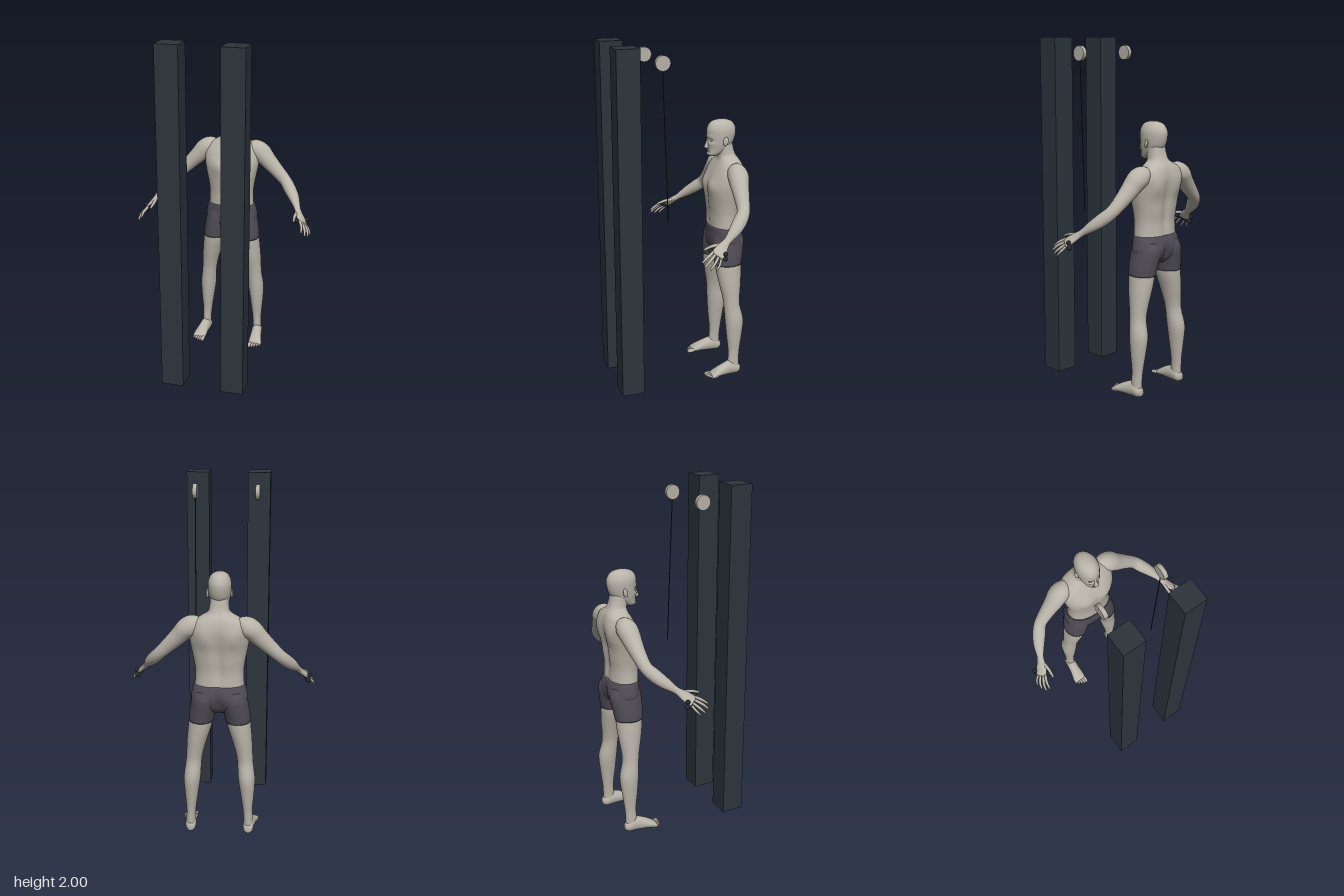
import * as THREE from 'three';

const mat = (name, color) => Object.assign(new THREE.MeshStandardMaterial({ color }), { name });
const V3 = (x, y, z) => new THREE.Vector3(x, y, z);
const UP = V3(0, 1, 0), FORWARD = V3(0, 0, 1), SIDE = V3(1, 0, 0);
const bell = (d, w) => Math.exp(-((d / w) ** 2));

// Smooth body through stations [x, y, z, radius along ref, other radius].
// axis fixes the plane of every cross-section, otherwise it follows the path.
function loft(rows, { ref = SIDE, axis = null, seg = 24, sub = 4, pow = 1, tweak = null } = {}) {
  const n = (rows.length - 1) * sub, pos = [], idx = [];
  const sample = (t) => {
    const i = Math.min(Math.floor(t), rows.length - 2), f = t - i;
    const at = (k) => rows[Math.max(0, Math.min(rows.length - 1, k))];
    return rows[0].map((_, c) => {
      const a = at(i - 1)[c], b = at(i)[c], d = at(i + 1)[c], e = at(i + 2)[c];
      return b + 0.5 * f * (d - a + f * (2 * a - 5 * b + 4 * d - e + f * (3 * (b - d) + e - a)));
    });
  };
  const shape = (v) => Math.sign(v) * Math.abs(v) ** pow;
  const add = (p) => { if (tweak) tweak(p); pos.push(p.x, p.y, p.z); };
  for (let j = 0; j <= n; j++) {
    const s = sample(j / sub), c = V3(s[0], s[1], s[2]);
    const a = sample(Math.max(0, j / sub - 0.1)), b = sample(Math.min(rows.length - 1, j / sub + 0.1));
    const T = axis ? axis.clone() : V3(b[0] - a[0], b[1] - a[1], b[2] - a[2]).normalize();
    const U = ref.clone().addScaledVector(T, -ref.dot(T)).normalize();
    const V = T.clone().cross(U);
    for (let k = 0; k < seg; k++) {
      const w = (k / seg) * Math.PI * 2;
      add(c.clone().addScaledVector(U, s[3] * shape(Math.cos(w))).addScaledVector(V, s[4] * shape(Math.sin(w))));
    }
  }
  for (let j = 0; j < n; j++) for (let k = 0; k < seg; k++) {
    const k2 = (k + 1) % seg, p = j * seg + k, q = j * seg + k2;
    idx.push(p, q, p + seg, q, q + seg, p + seg);
  }
  // closed ends
  const first = rows[0], last = rows[rows.length - 1], c0 = (n + 1) * seg;
  add(V3(first[0], first[1], first[2]));
  add(V3(last[0], last[1], last[2]));
  for (let k = 0; k < seg; k++) {
    const k2 = (k + 1) % seg;
    idx.push(c0, k2, k, c0 + 1, n * seg + k, n * seg + k2);
  }
  const g = new THREE.BufferGeometry();
  g.setAttribute('position', new THREE.Float32BufferAttribute(pos, 3));
  g.setIndex(idx);
  g.computeVertexNormals();
  return g;
}

export function createModel() {
  const root = new THREE.Group();
  root.name = 'cableTrainingFigure';
  const skin = mat('skin', 0xb9b4a9), cloth = mat('shorts', 0x504d55), post = mat('post', 0x2c353c);
  const disc = mat('pulley', 0xb5b0a5), dark = mat('grip', 0x26292e);
  const add = (name, geo, m, parent = root) => {
    const mesh = new THREE.Mesh(geo, m);
    mesh.name = name;
    parent.add(mesh);
    return mesh;
  };
  const rod = (a, b, r) => new THREE.TubeGeometry(new THREE.LineCurve3(a, b), 1, r, 8);

  // Posts, pulleys and the single cable
  for (const x of [-0.18, 0.176]) {
    add('post', new THREE.BoxGeometry(0.13, 2, 0.13), post).position.set(x, 1, 0.335);
    const p = add('pulley', new THREE.CylinderGeometry(0.042, 0.042, 0.024, 32), disc);
    p.rotation.z = Math.PI / 2;
    p.position.set(x, 1.91, 0.13);
  }
  add('cable', rod(V3(0.176, 1.9, 0.131), V3(0.176, 1.02, 0.1), 0.003), dark);

  // Torso and neck, with chest, shoulder blades and spine groove
  const muscles = (p) => {
    const x = Math.abs(p.x);
    if (p.z > -0.29) {
      p.z += 0.012 * bell(x - 0.065, 0.045) * bell(p.y - 1.165, 0.045);
      p.z -= 0.006 * bell(x, 0.012) * bell(p.y - 1.1, 0.12);
      p.z -= 0.008 * bell(x, 0.008) * bell(p.y - 0.95, 0.01);
    } else {
      p.z += 0.016 * bell(x, 0.022) * bell(p.y - 1.08, 0.17);
      p.z -= 0.01 * bell(x - 0.08, 0.04) * bell(p.y - 1.2, 0.06);
    }
  };
  add('torso', loft([
    [0, 0.9, -0.291, 0.139, 0.084], [0, 0.95, -0.289, 0.135, 0.083], [0, 1.0, -0.288, 0.135, 0.083],
    [0, 1.06, -0.288, 0.143, 0.09], [0, 1.12, -0.288, 0.155, 0.095], [0, 1.18, -0.295, 0.165, 0.098],
    [0, 1.24, -0.308, 0.167, 0.09], [0, 1.285, -0.316, 0.143, 0.075], [0, 1.312, -0.317, 0.1, 0.063],
    [0, 1.335, -0.31, 0.062, 0.055], [0, 1.365, -0.3, 0.053, 0.053], [0, 1.41, -0.29, 0.05, 0.053],
  ], { axis: UP, seg: 64, sub: 5, pow: 0.88, tweak: muscles }), skin);

  // Shorts: seat plus two leg sleeves
  const cleft = (p) => {
    if (p.z < -0.3) p.z += 0.025 * bell(p.x, 0.02) * bell(p.y - 0.82, 0.06);
  };
  add('shortsSeat', loft([
    [0, 0.755, -0.29, 0.05, 0.05], [0, 0.785, -0.292, 0.125, 0.08], [0, 0.83, -0.298, 0.158, 0.094],
    [0, 0.87, -0.298, 0.155, 0.094], [0, 0.918, -0.291, 0.142, 0.087],
  ], { axis: UP, seg: 48, pow: 0.88, tweak: cleft }), cloth);

  // Head
  const face = (p) => {
    const x = Math.abs(p.x);
    if (p.z < -0.25) return;
    p.z -= 0.009 * bell(x - 0.026, 0.014) * bell(p.y - 1.432, 0.011);
    p.z += 0.004 * bell(x - 0.025, 0.02) * bell(p.y - 1.452, 0.01);
    p.z += 0.004 * bell(x - 0.035, 0.014) * bell(p.y - 1.41, 0.012);
    p.z += 0.007 * bell(x, 0.018) * bell(p.y - 1.348, 0.01);
  };
  add('head', loft([
    [0, 1.336, -0.228, 0.018, 0.018], [0, 1.347, -0.233, 0.036, 0.036], [0, 1.375, -0.256, 0.049, 0.06],
    [0, 1.41, -0.269, 0.058, 0.077], [0, 1.45, -0.276, 0.063, 0.084], [0, 1.49, -0.277, 0.063, 0.086],
    [0, 1.52, -0.276, 0.053, 0.074], [0, 1.538, -0.276, 0.037, 0.053], [0, 1.547, -0.276, 0.013, 0.02],
  ], { axis: UP, seg: 64, sub: 6, tweak: face }), skin);
  add('nose', loft([
    [0, 1.378, -0.197, 0.008, 0.006], [0, 1.386, -0.188, 0.015, 0.014], [0, 1.396, -0.188, 0.011, 0.013],
    [0, 1.42, -0.194, 0.008, 0.009], [0, 1.443, -0.199, 0.006, 0.006],
  ], { axis: UP, seg: 16 }), skin);
  const ball = (name, m, p, s, parent) => {
    const b = add(name, new THREE.SphereGeometry(1, 20, 14), m, parent);
    b.position.set(...p);
    b.scale.set(...s);
    return b;
  };
  ball('upperLip', skin, [0, 1.368, -0.2], [0.02, 0.004, 0.008]);
  ball('lowerLip', skin, [0, 1.361, -0.201], [0.017, 0.005, 0.008]);

  // Paired parts, s = 1 for the left side and -1 for the right
  for (const s of [1, -1]) {
    const side = new THREE.Group();
    side.name = s > 0 ? 'leftSide' : 'rightSide';
    root.add(side);
    const m = (rows) => rows.map(([x, ...rest]) => [x * s, ...rest]);
    const across = V3(0.57 * s, -0.5, -0.64);

    ball('eye', skin, [0.026 * s, 1.432, -0.207], [0.011, 0.007, 0.008], side);
    const ear = ball('ear', skin, [0.066 * s, 1.428, -0.282], [0.007, 0.026, 0.015], side);
    ear.rotation.set(-0.15, -0.35 * s, 0);

    // Arm running on into the palm
    add('arm', loft(m([
      [0.1, 1.262, -0.32, 0.035, 0.04], [0.135, 1.26, -0.32, 0.054, 0.056], [0.175, 1.243, -0.319, 0.06, 0.057],
      [0.215, 1.2, -0.312, 0.053, 0.051], [0.27, 1.145, -0.304, 0.043, 0.043], [0.33, 1.086, -0.29, 0.036, 0.036],
      [0.365, 1.047, -0.257, 0.039, 0.036], [0.4, 1.008, -0.213, 0.034, 0.03], [0.43, 0.967, -0.16, 0.021, 0.018],
      [0.445, 0.946, -0.132, 0.027, 0.016], [0.465, 0.922, -0.102, 0.036, 0.014], [0.482, 0.903, -0.078, 0.034, 0.011],
    ]), { ref: across, seg: 32 }), skin, side);

    // Fingers: knuckle, middle joint, tip, radius
    const fingers = [
      [[0.435, 0.95, -0.125], [0.432, 0.945, -0.07], [0.435, 0.93, -0.02], 0.0095],
      [[0.464, 0.922, -0.062], [0.48, 0.903, -0.027], [0.485, 0.877, 0.008], 0.0085],
      [[0.475, 0.91, -0.071], [0.498, 0.885, -0.032], [0.505, 0.856, 0.0], 0.0085],
      [[0.487, 0.898, -0.084], [0.511, 0.871, -0.055], [0.519, 0.843, -0.027], 0.008],
      [[0.497, 0.888, -0.096], [0.518, 0.863, -0.08], [0.526, 0.84, -0.06], 0.007],
    ];
    fingers.forEach(([a, b, c, r], i) => add(i ? 'finger' : 'thumb', loft(m([
      [...a, r, r], [...b, r, r], [...c, r * 0.65, r * 0.65],
    ]), { ref: across, seg: 10 }), skin, side));

    // Hand grip with a knob at each end and a thin cord
    const g0 = V3(0.446 * s, 0.925, -0.056), g1 = V3(0.492 * s, 0.885, -0.122);
    add('gripBar', rod(g0, g1, 0.009), dark, side);
    for (const g of [g0, g1]) ball('gripKnob', dark, g.toArray(), [0.014, 0.014, 0.014], side);
    ball('gripKnob', dark, [0.499 * s, 0.915, -0.122], [0.013, 0.013, 0.013], side);
    add('gripCord', rod(g0, V3(0.437 * s, 0.94, -0.13), 0.002), dark, side);

    // Leg
    add('leg', loft(m([
      [0.168, 0.025, -0.315, 0.027, 0.035], [0.167, 0.08, -0.315, 0.026, 0.034], [0.164, 0.15, -0.318, 0.028, 0.035],
      [0.161, 0.25, -0.319, 0.039, 0.047], [0.156, 0.35, -0.319, 0.048, 0.056], [0.148, 0.44, -0.306, 0.045, 0.049],
      [0.141, 0.5, -0.302, 0.048, 0.053], [0.128, 0.58, -0.298, 0.057, 0.066], [0.112, 0.66, -0.294, 0.066, 0.076],
      [0.102, 0.73, -0.292, 0.068, 0.079],
    ]), { axis: UP, seg: 32 }), skin, side);
    add('shortsLeg', loft(m([
      [0.104, 0.697, -0.292, 0.071, 0.082], [0.098, 0.74, -0.294, 0.074, 0.087], [0.088, 0.79, -0.298, 0.076, 0.092],
      [0.08, 0.84, -0.302, 0.075, 0.093], [0.075, 0.885, -0.298, 0.066, 0.08],
    ]), { axis: UP, seg: 32 }), cloth, side);

    // Foot with flat sole, and toes
    add('foot', loft(m([
      [0.168, 0.03, -0.357, 0.016, 0.018], [0.168, 0.033, -0.335, 0.029, 0.035], [0.17, 0.042, -0.295, 0.032, 0.045],
      [0.176, 0.034, -0.24, 0.035, 0.036], [0.182, 0.021, -0.19, 0.041, 0.022], [0.184, 0.013, -0.165, 0.037, 0.012],
    ]), { axis: FORWARD, tweak: (p) => { p.y = Math.max(p.y, 0.002); } }), skin, side);
    for (let i = 0; i < 5; i++) {
      const r = i ? 0.0085 - i * 0.0004 : 0.011, x = 0.154 + i * 0.0155, z = -0.133 - i * i * 0.0016;
      add('toe', loft(m([
        [x, 0.014, z - 0.045, r, r], [x, 0.012, z - 0.012, r, r], [x, 0.009, z, r * 0.6, r * 0.6],
      ]), { axis: FORWARD, seg: 10 }), skin, side);
    }
  }
  return root;
}
